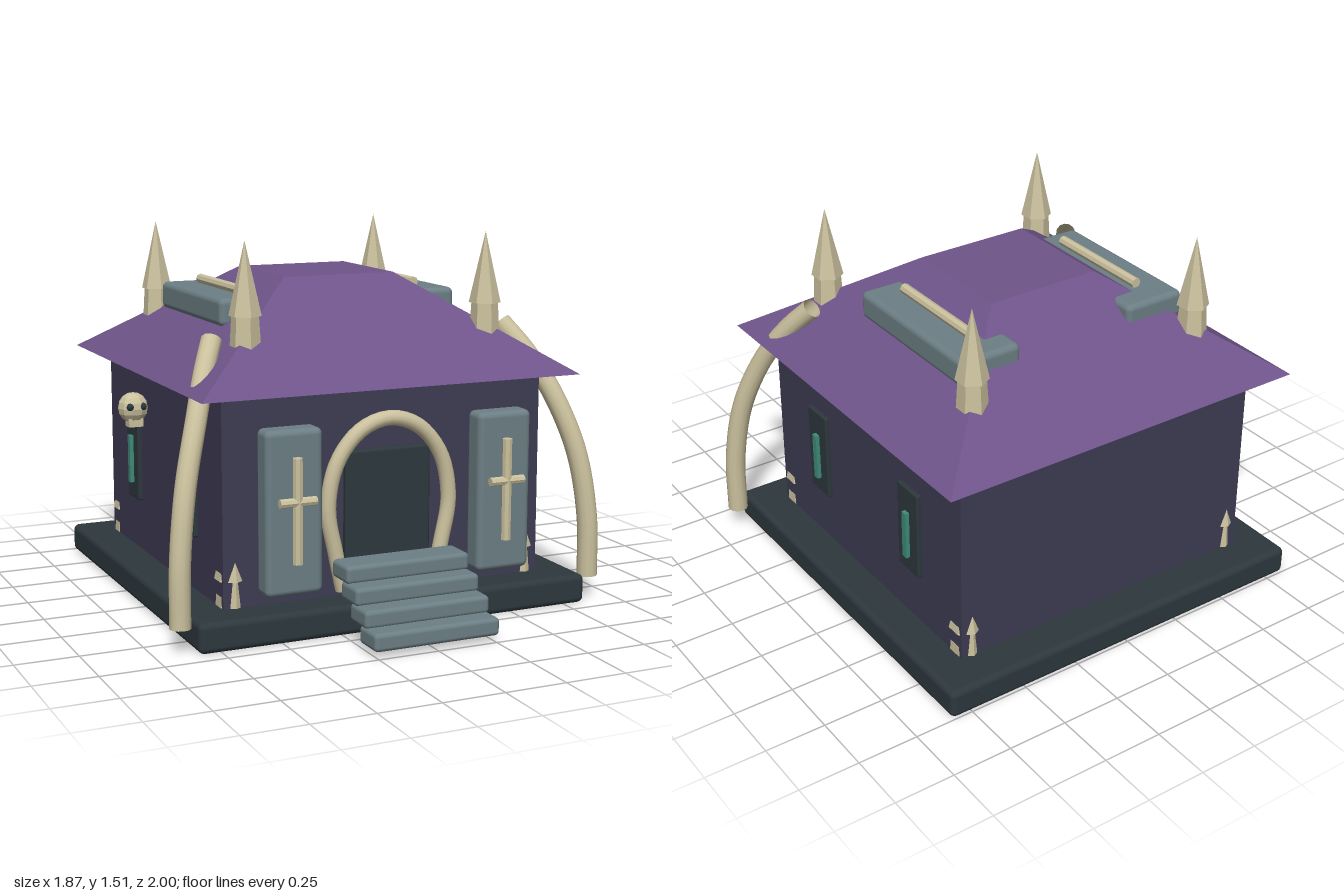
import * as THREE from 'three';
import { RoundedBoxGeometry } from 'three/addons/geometries/RoundedBoxGeometry.js';

const mat = (name, color) => {
  const m = new THREE.MeshStandardMaterial({ color });
  m.name = name;
  return m;
};

export function createModel() {
  const model = new THREE.Group();
  model.name = 'crypt';

  const wall = mat('wall plum grey', 0x3e3c53);
  const roofMat = mat('roof purple', 0x6e5489);
  const dark = mat('dark stone', 0x2d383d);
  const stone = mat('grey stone', 0x6c7f85);
  const bone = mat('bone', 0xcbc19e);
  const boneOpen = mat('bone tube', 0xcbc19e);
  boneOpen.side = THREE.DoubleSide;
  const glow = mat('teal glow', 0x3f8c7a);

  const MID = -0.15; // z centre of the building

  const add = (name, geo, material, x = 0, y = 0, z = 0, parent = model) => {
    const m = new THREE.Mesh(geo, material);
    m.name = name;
    m.position.set(x, y, z);
    parent.add(m);
    return m;
  };
  // box given by its limits on each axis, rounded when r > 0
  const block = (name, material, [x0, x1], [y0, y1], [z0, z1], r = 0) => {
    const s = [x1 - x0, y1 - y0, z1 - z0];
    const geo = r ? new RoundedBoxGeometry(...s, 3, r) : new THREE.BoxGeometry(...s);
    return add(name, geo, material, (x0 + x1) / 2, (y0 + y1) / 2, (z0 + z1) / 2);
  };
  const faceted = (geo) => {
    const g = geo.toNonIndexed();
    g.computeVertexNormals();
    return g;
  };

  // plinth, walls and door
  block('plinth', dark, [-0.84, 0.84], [0, 0.12], [-1, 0.69], 0.025);
  block('walls', wall, [-0.69, 0.69], [0.11, 0.955], [MID - 0.69, MID + 0.69]);
  block('door', dark, [-0.185, 0.185], [0.2, 0.7], [0.52, 0.565], 0.012);

  // hipped roof with a flat top
  const roofGeo = new THREE.CylinderGeometry(0.245 * Math.SQRT2, 0.81 * Math.SQRT2, 0.385, 4);
  roofGeo.rotateY(Math.PI / 4);
  add('roof', faceted(roofGeo), roofMat, 0, 0.95 + 0.1925, MID);

  // front steps
  for (let i = 0; i < 4; i++) {
    const z = 1 - i * 0.083;
    block('step', stone, [-0.265, 0.265], [0.025 + i * 0.065, 0.097 + i * 0.065], [z - 0.145, z], 0.018);
  }

  // bone arch around the door
  const half = [[0.2, 0.15], [0.232, 0.3], [0.263, 0.48], [0.225, 0.66], [0.125, 0.78]];
  const archPts = [
    ...half.map(([x, y]) => new THREE.Vector3(-x, y, 0.57)),
    new THREE.Vector3(0, 0.82, 0.57),
    ...half.slice().reverse().map(([x, y]) => new THREE.Vector3(x, y, 0.57)),
  ];
  add('doorArch', new THREE.TubeGeometry(new THREE.CatmullRomCurve3(archPts), 48, 0.031, 12), boneOpen);

  // fluted spike: short six-sided shaft with a cone on it
  const shaftGeo = faceted(new THREE.CylinderGeometry(0.054, 0.062, 0.13, 6));
  const tipGeo = faceted(new THREE.ConeGeometry(0.065, 0.29, 6));
  const spike = (name, x, y, z) => {
    const g = new THREE.Group();
    g.name = name;
    g.position.set(x, y, z);
    add('spikeShaft', shaftGeo, bone, 0, 0.06, 0, g);
    add('spikeTip', tipGeo, bone, 0, 0.27, 0, g);
    model.add(g);
  };

  const rod = (r, len) => faceted(new THREE.CylinderGeometry(r, r, len, 8));

  for (const s of [1, -1]) {
    const span = (a, b) => (s > 0 ? [a, b] : [-b, -a]);

    for (const t of [1, -1]) {
      spike('roofSpike', s * 0.525, 1.1, MID + t * 0.525);
      spike('cornerSpike', s * 0.64, 0.1, MID + t * 0.642);

      // slit windows on both sides
      const z = MID + t * 0.345;
      block('windowFrame', dark, span(0.68, 0.708), [0.34, 0.72], [z - 0.072, z + 0.072], 0.008);
      block('windowSlit', glow, span(0.7, 0.725), [0.41, 0.615], [z - 0.014, z + 0.014]);
    }

    // upright slabs with crosses beside the door
    block('frontSlab', stone, span(0.335, 0.57), [0.185, 0.83], [0.585, 0.69], 0.025);
    add('crossUpright', rod(0.02, 0.41), bone, s * 0.45, 0.52, 0.708);
    add('crossArm', rod(0.018, 0.15), bone, s * 0.45, 0.556, 0.71).rotation.z = Math.PI / 2;

    // slabs sunk into the roof, each with a bone on top
    block('roofSlab', stone, span(0.255, 0.527), [1.145, 1.26], [-0.608, 0.11], 0.025);
    add('roofBone', rod(0.021, 0.485), bone, s * 0.39, 1.278, -0.242).rotation.x = Math.PI / 2;

    // curved rib rising through the eaves
    const rib = new THREE.CatmullRomCurve3([
      [0.893, 0.095, 0.62], [0.888, 0.35, 0.615], [0.85, 0.62, 0.58],
      [0.775, 0.86, 0.5], [0.705, 1.02, 0.4], [0.64, 1.13, 0.31],
    ].map(([x, y, z]) => new THREE.Vector3(s * x, y, z)));
    add('rib', new THREE.TubeGeometry(rib, 32, 0.042, 12), boneOpen);
  }

  // small skull hovering at the right wall
  const skull = new THREE.Group();
  skull.name = 'skull';
  skull.position.set(-0.81, 0.8, -0.16);
  model.add(skull);
  add('skullDome', faceted(new THREE.SphereGeometry(0.063, 10, 8)), bone, 0, 0, 0, skull);
  add('skullJaw', new THREE.BoxGeometry(0.06, 0.035, 0.05), bone, 0, -0.058, 0.015, skull);
  for (const s of [1, -1]) {
    add('skullEye', new THREE.SphereGeometry(0.016, 8, 6), dark, s * 0.027, 0.01, 0.05, skull);
  }

  return model;
}
